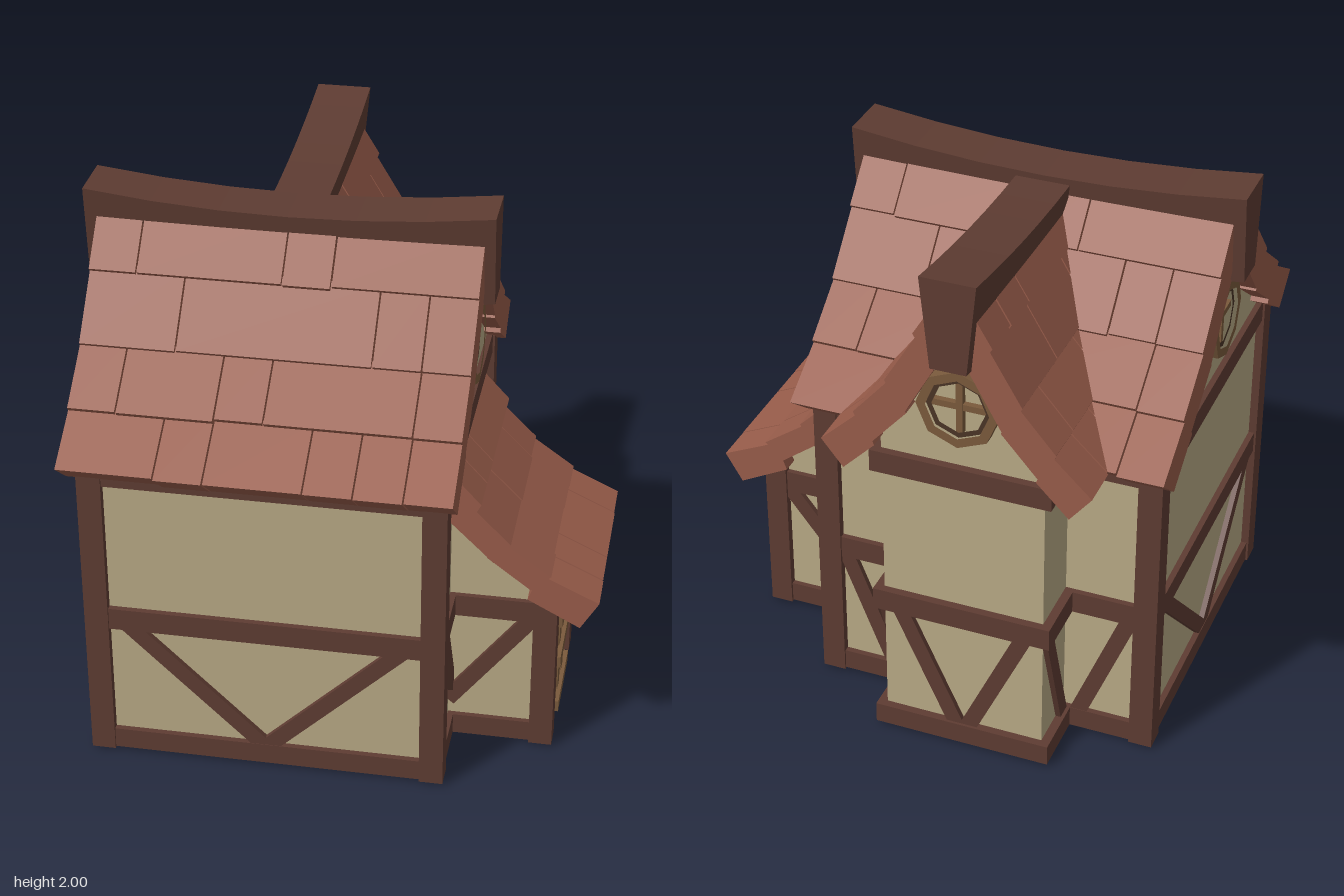
import * as THREE from 'three';

const mat = (color) => new THREE.MeshStandardMaterial({ color, flatShading: true });
const PLASTER = mat(0xb8a985), TIMBER = mat(0x5e3c32), TILE = mat(0x985c4a);
const WOOD = mat(0x7a5a3c), DARKWOOD = mat(0x4a3426);

const CX = -0.22, CZ = 0.1; // centre of the main house

// Roof courses, eave to ridge: outer top, inner top, inner bottom, outer bottom
const MAIN_ROWS = [
  [[0.77, 1.25], [0.54, 1.39], [0.46, 1.27], [0.645, 1.15]],
  [[0.575, 1.39], [0.36, 1.55], [0.27, 1.43], [0.49, 1.27]],
  [[0.39, 1.545], [0.19, 1.76], [0.08, 1.66], [0.29, 1.42]],
  [[0.225, 1.75], [0.06, 1.925], [0.0, 1.8], [0.12, 1.64]],
];
const PORCH_ROWS = [
  [[0.945, 0.67], [0.73, 0.77], [0.69, 0.66], [0.88, 0.56]],
  [[0.77, 0.765], [0.58, 0.9], [0.54, 0.82], [0.7, 0.7]],
  [[0.625, 0.88], [0.42, 1.085], [0.4, 0.96], [0.565, 0.8]],
  [[0.515, 1.035], [0.4, 1.16], [0.38, 1.0], [0.46, 0.93]],
];
// Tile widths per course, in whole units
const WIDE = [[1, 1, 1, 2, 1, 2], [1, 3, 1, 2, 1], [1, 1, 4, 2], [3, 1, 3, 1]];
const NARROW = [[1, 2, 1, 1], [1, 1, 2, 1], [1, 2, 2], [3, 1, 1]];

let seed = 7;
const rand = () => (seed = (seed * 16807) % 2147483647) / 2147483647;

function add(parent, name, geometry, material) {
  const m = new THREE.Mesh(geometry, material);
  m.name = name;
  parent.add(m);
  return m;
}

// Box given by its limits on each axis
function block(parent, name, material, x0, x1, y0, y1, z0, z1) {
  const m = add(parent, name, new THREE.BoxGeometry(x1 - x0, y1 - y0, z1 - z0), material);
  m.position.set((x0 + x1) / 2, (y0 + y1) / 2, (z0 + z1) / 2);
  return m;
}

// Outline in x and y, pushed along z from z0 to z1
function prism(points, z0, z1) {
  const shape = new THREE.Shape(points.map((p) => new THREE.Vector2(p[0], p[1])));
  const g = new THREE.ExtrudeGeometry(shape, { depth: z1 - z0, bevelEnabled: false });
  return g.translate(0, 0, z0);
}

const mirrored = (half) => [...half, ...half.slice().reverse().map(([x, y]) => [-x, y])];

// Diagonal timber between two points on a wall
function brace(parent, a, b) {
  const A = new THREE.Vector3(...a), B = new THREE.Vector3(...b);
  const m = add(parent, 'brace', new THREE.BoxGeometry(0.04, 0.06, A.distanceTo(B)), TIMBER);
  m.position.copy(A).add(B).multiplyScalar(0.5);
  m.lookAt(B);
}

// One slope of overlapping tiles; local x points outwards, z runs along the eave
function tileSlope(parent, name, rows, patterns, length) {
  const g = new THREE.Group();
  g.name = name;
  rows.forEach((row, r) => {
    const unit = length / patterns[r].reduce((s, n) => s + n, 0);
    let z = -length / 2;
    for (const n of patterns[r]) {
      const slip = rand() * 0.01;
      const tile = add(g, 'roofTile', prism(row, z + 0.003, z + n * unit - 0.003), TILE);
      tile.position.set(-slip, slip * 0.6, 0);
      z += n * unit;
    }
  });
  parent.add(g);
  return g;
}

// Ridge beam along x, narrower below, with a sagging back
function ridgeBeam(x0, x1, xLow, yLow, sag) {
  const reach = Math.max(x1 - xLow, xLow - x0);
  const g = new THREE.BoxGeometry(x1 - x0, 0.34, 0.2, 6, 1, 1).translate((x0 + x1) / 2, 0, 0);
  const p = g.attributes.position;
  for (let i = 0; i < p.count; i++) {
    if (p.getY(i) < 0) p.setZ(i, p.getZ(i) * 0.65);
    const t = (p.getX(i) - xLow) / reach;
    p.setY(i, p.getY(i) + yLow - 0.17 + sag * t * t);
  }
  g.computeVertexNormals();
  return g;
}

// Octagonal ring facing +z
function octagonRing(outer, inner, depth) {
  const ring = (r) => Array.from({ length: 8 }, (_, i) =>
    new THREE.Vector2(r * Math.sin(i * Math.PI / 4), r * Math.cos(i * Math.PI / 4)));
  const shape = new THREE.Shape(ring(outer));
  shape.holes.push(new THREE.Path(ring(inner)));
  return new THREE.ExtrudeGeometry(shape, { depth, bevelEnabled: false });
}

function gableWindow(parent, x, z, turn) {
  const g = new THREE.Group();
  g.name = 'gableWindow';
  add(g, 'windowFrame', octagonRing(0.15, 0.115, 0.045), WOOD);
  add(g, 'windowInnerFrame', octagonRing(0.118, 0.098, 0.03), DARKWOOD);
  block(g, 'windowBar', WOOD, -0.012, 0.012, -0.105, 0.105, 0, 0.025);
  block(g, 'windowBar', WOOD, -0.105, 0.105, -0.012, 0.012, 0, 0.022);
  g.position.set(x, 1.465, z);
  g.rotation.y = turn;
  parent.add(g);
}

export function createModel() {
  const house = new THREE.Group();
  house.name = 'timberHouse';

  // Plastered bodies: main house, rear wing, porch
  const mainHalf = [[0.62, 0], [0.62, 1.22], [0.5, 1.29], [0.29, 1.46], [0.1, 1.7]];
  const main = add(house, 'mainWalls', prism(mirrored(mainHalf), -0.62, 0.62), PLASTER);
  main.rotation.y = Math.PI / 2;
  main.position.set(CX, 0, CZ);
  const wingHalf = [[0.3, 0.02], [0.3, 1.3], [0.19, 1.46], [0.07, 1.7]];
  add(house, 'wingWalls', prism(mirrored(wingHalf), -0.75, 0), PLASTER).position.x = CX;
  add(house, 'porchWalls', prism([[0.38, 0.02], [0.76, 0.02], [0.76, 0.66], [0.6, 0.82],
    [0.38, 1.0]], -0.22, 0.42), PLASTER);

  // Horizontal timbers wrapping each body
  for (const [y0, y1] of [[0.012, 0.092], [0.535, 0.62], [1.13, 1.215]]) {
    block(house, 'mainBelt', TIMBER, -0.862, 0.422, y0, y1, -0.542, 0.742);
    block(house, 'wingBelt', TIMBER, -0.553, 0.113, y0, y1, -0.78, -0.4);
  }
  block(house, 'porchSill', TIMBER, 0.4, 0.745, 0.012, 0.092, -0.24, 0.44);
  block(house, 'porchLintel', TIMBER, 0.4, 0.782, 0.535, 0.62, -0.24, 0.44);

  // Corner posts
  for (const x of [-0.87, 0.343])
    for (const z of [-0.55, 0.663])
      block(house, 'cornerPost', TIMBER, x, x + 0.087, 0.008, 1.2, z, z + 0.087);
  for (const z of [-0.25, 0.363])
    block(house, 'porchPost', TIMBER, 0.705, 0.79, 0.008, 0.66, z, z + 0.087);

  // Diagonal braces
  for (const s of [-1, 1]) {
    brace(house, [CX + s * 0.5, 0.56, 0.72], [CX, 0.08, 0.72]);
    brace(house, [-0.84, 0.56, CZ + s * 0.5], [-0.84, 0.08, CZ]);
    brace(house, [CX + s * 0.24, 0.56, -0.75], [CX + s * 0.02, 0.08, -0.75]);
    brace(house, [0.4, 0.56, CZ + s * 0.51], [0.4, 0.22, CZ + s * 0.32]);
    brace(house, [0.71, 0.56, CZ + s * 0.32], [0.4, 0.16, CZ + s * 0.32]);
    brace(house, [CX + s * 0.3, 0.56, -0.735], [CX + s * 0.3, 0.07, -0.565]);
    brace(house, [CX + s * 0.55, 0.56, -0.52], [CX + s * 0.36, 0.08, -0.52]);
  }

  // Main roof, rear wing roof (same courses, steeper) and porch roof
  for (const s of [-1, 1]) {
    const slope = tileSlope(house, 'mainRoof', MAIN_ROWS, WIDE, 1.375);
    slope.rotation.y = -s * Math.PI / 2;
    slope.position.set(-0.2225, 0, CZ);
    const wing = tileSlope(house, 'wingRoof', MAIN_ROWS, NARROW, 0.83);
    wing.scale.x = 0.64;
    wing.rotation.y = s > 0 ? 0 : Math.PI;
    wing.position.set(CX, 0, -0.415);
  }
  tileSlope(house, 'porchRoof', PORCH_ROWS, NARROW, 0.775).position.z = CZ;

  // Ridge beams
  add(house, 'mainRidge', ridgeBeam(-0.95, 0.5, -0.225, 1.95, 0.05), TIMBER).position.z = CZ;
  const wingRidge = add(house, 'wingRidge', ridgeBeam(0, 0.87, 0, 1.93, 0.07), TIMBER);
  wingRidge.rotation.y = Math.PI / 2;
  wingRidge.position.x = CX;

  // Round windows in the three gables
  gableWindow(house, 0.4, CZ, Math.PI / 2);
  gableWindow(house, -0.84, CZ, -Math.PI / 2);
  gableWindow(house, CX, -0.75, Math.PI);

  // Plank door with three cross bars
  const door = new THREE.Group();
  door.name = 'door';
  [0.485, 0.492, 0.48, 0.495, 0.488].forEach((top, i) => {
    const z = -0.05 + i * 0.061;
    block(door, 'doorPlank', WOOD, 0.75, 0.778 + (i % 2) * 0.004, 0.012, top, z, z + 0.058);
  });
  for (const y of [0.03, 0.23, 0.41])
    block(door, 'doorBar', WOOD, 0.77, 0.795, y, y + 0.045, -0.067, 0.27);
  house.add(door);

  return house;
}
